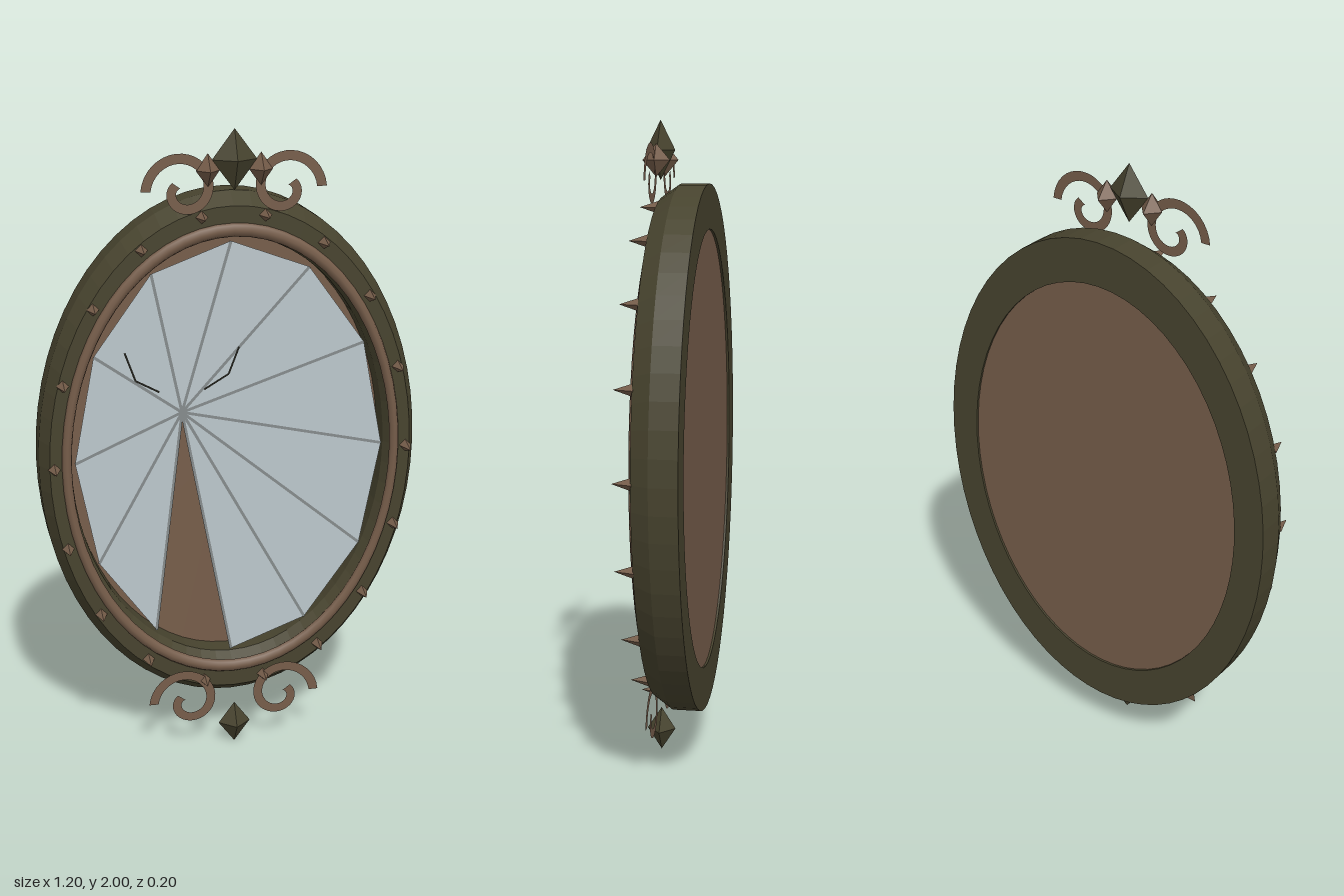
import * as THREE from 'three';

const bronze = new THREE.MeshStandardMaterial({ color: 0x47432e });
bronze.name = 'dark bronze';
const copper = new THREE.MeshStandardMaterial({ color: 0x765d4a, side: THREE.DoubleSide });
copper.name = 'copper brown';
const glass = new THREE.MeshStandardMaterial({ color: 0xbcc7cc, side: THREE.DoubleSide });
glass.name = 'mirror glass';
const seam = new THREE.MeshStandardMaterial({ color: 0x858b8c, side: THREE.DoubleSide });
seam.name = 'seam grey';
const black = new THREE.MeshStandardMaterial({ color: 0x1c1c16, side: THREE.DoubleSide });
black.name = 'crack black';

const CY = 0.985;     // height of the oval's centre
const OVAL = 1.375;   // height to width ratio of the oval
const GLASS_Z = 0;

const oval = (r, a) => new THREE.Vector2(r * Math.cos(a), CY + r * OVAL * Math.sin(a));

function flat(geometry) {
  const g = geometry.index ? geometry.toNonIndexed() : geometry;
  g.computeVertexNormals();
  return g;
}

// Thin flat strip from a to b, tapering from width wa to wb
function strip(a, b, wa, wb = wa) {
  const n = new THREE.Vector2(a.y - b.y, b.x - a.x).normalize();
  return new THREE.ShapeGeometry(new THREE.Shape([
    a.clone().addScaledVector(n, -wa / 2), b.clone().addScaledVector(n, -wb / 2),
    b.clone().addScaledVector(n, wb / 2), a.clone().addScaledVector(n, wa / 2),
  ]));
}

// Flat spiral ribbon, winding inwards from the outer right end
function scrollGeometry() {
  const outer = [], inner = [];
  const turns = 1.1, steps = 40, w = 0.015;
  for (let i = 0; i <= steps; i++) {
    const t = (i / steps) * turns, a = t * Math.PI * 2, r = 0.113 - 0.0785 * t;
    outer.push(new THREE.Vector2((r + w) * Math.cos(a), (r + w) * Math.sin(a)));
    inner.unshift(new THREE.Vector2((r - w) * Math.cos(a), (r - w) * Math.sin(a)));
  }
  return new THREE.ShapeGeometry(new THREE.Shape([...outer, ...inner]));
}

export function createModel() {
  const model = new THREE.Group();
  model.name = 'ovalMirror';
  const add = (name, geometry, material, x = 0, y = 0, z = 0) => {
    const mesh = new THREE.Mesh(geometry, material);
    mesh.name = name;
    mesh.position.set(x, y, z);
    model.add(mesh);
    return mesh;
  };

  // Oval frame with bevelled front edges
  const profile = [
    [0.6, -0.1], [0.6, -0.015], [0.572, 0.04], [0.53, 0.04],
    [0.5, -0.015], [0.5, -0.1], [0.6, -0.1],
  ].map(([r, z]) => new THREE.Vector2(r, z));
  const frame = new THREE.LatheGeometry(profile, 64).rotateX(Math.PI / 2).scale(1, OVAL, 1);
  add('frame', flat(frame), bronze, 0, CY);

  // Raised inner moulding
  const moulding = new THREE.TorusGeometry(0.52, 0.015, 8, 64).scale(1, OVAL, 1);
  add('innerMoulding', moulding, copper, 0, CY, 0.04);

  // Backing board
  const board = new THREE.CylinderGeometry(0.5, 0.5, 0.01, 64).rotateX(Math.PI / 2).scale(1, OVAL, 1);
  add('backBoard', board, copper, 0, CY, -0.088);

  // Glass shards fanning out from the impact point, one of them missing
  const impact = new THREE.Vector2(-0.155, 1.13);
  for (let i = 0; i < 12; i++) {
    const a = oval(0.49, (i * Math.PI) / 6);
    const b = oval(0.49, ((i + 1) * Math.PI) / 6);
    if (i !== 8) {
      add('glassShard', new THREE.ShapeGeometry(new THREE.Shape([impact, a, b])), glass, 0, 0, GLASS_Z);
    }
    add('shardSeam', strip(impact, a, 0.009), seam, 0, 0, GLASS_Z + 0.002);
  }

  // Fine hairline cracks
  const cracks = [
    [[-0.33, 1.33], [-0.298, 1.24], [-0.225, 1.2]],
    [[0.025, 1.33], [-0.008, 1.245], [-0.085, 1.2]],
  ];
  for (const path of cracks) {
    const p = path.map(([x, y]) => new THREE.Vector2(x, y));
    add('hairlineCrack', strip(p[0], p[1], 0.006), black, 0, 0, GLASS_Z + 0.004);
    add('hairlineCrack', strip(p[1], p[2], 0.006), black, 0, 0, GLASS_Z + 0.004);
  }

  // Studs around the front of the frame
  const stud = flat(new THREE.ConeGeometry(0.02, 0.06, 4).rotateX(Math.PI / 2));
  for (let i = 0; i < 18; i++) {
    const p = oval(0.558, (i * Math.PI) / 9);
    add('stud', stud, copper, p.x, p.y, 0.067);
  }

  // Crest and drop gems
  const gem = (name, material, x, y, sx, sy, sz) =>
    add(name, flat(new THREE.OctahedronGeometry(1).scale(sx, sy, sz)), material, x, y, 0.05);
  gem('crestGem', bronze, 0, 1.91, 0.068, 0.09, 0.045);
  gem('dropGem', bronze, 0, 0.07, 0.052, 0.07, 0.045);

  // Side gems and mirrored scrolls above and below
  const scroll = scrollGeometry();
  for (const side of [-1, 1]) {
    gem('sideGem', copper, side * 0.08, 1.88, 0.036, 0.05, 0.042);
    for (const y of [1.823, 0.16]) {
      const g = scroll.clone();
      if (side < 0) g.rotateY(Math.PI);
      add(y > 1 ? 'topScroll' : 'bottomScroll', g, copper, side * 0.153, y, 0.052);
    }
  }
  return model;
}
